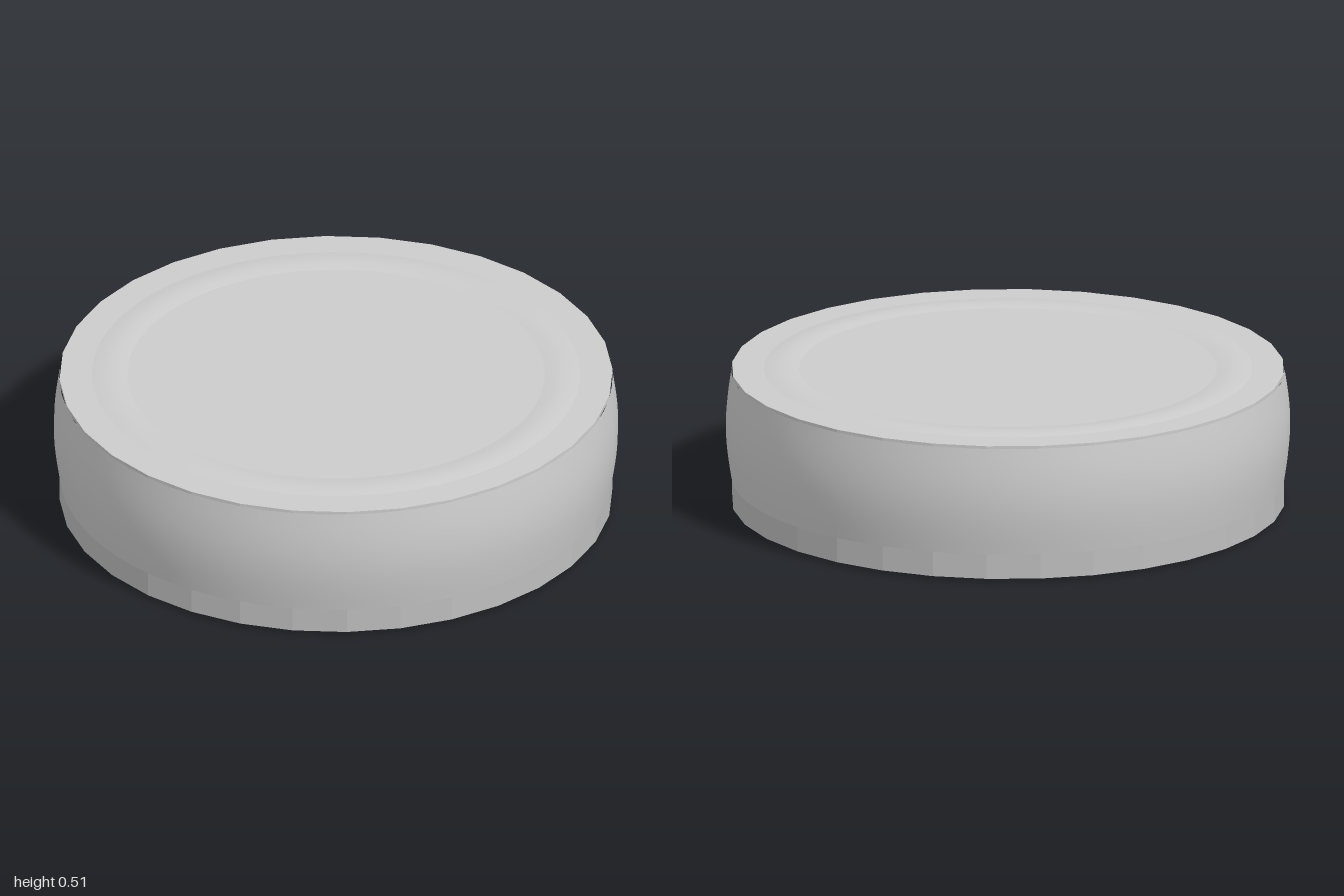
import * as THREE from 'three';

// Turn (radius, height) pairs, listed bottom to top on the outside, into a round surface.
function lathe(points, segments) {
  return new THREE.LatheGeometry(points.map(([r, y]) => new THREE.Vector2(r, y)), segments);
}

// Faceted solid disc between two heights.
function facetedDisc(radius, y0, y1) {
  const g = new THREE.CylinderGeometry(radius, radius, y1 - y0, 32).toNonIndexed();
  g.computeVertexNormals();
  return g.translate(0, (y0 + y1) / 2, 0);
}

export function createModel() {
  const group = new THREE.Group();
  const shellGrey = new THREE.MeshStandardMaterial({ color: 0xcccccc });
  shellGrey.name = 'shellGrey';
  const baseGrey = new THREE.MeshStandardMaterial({ color: 0xbebebe });
  baseGrey.name = 'baseGrey';

  const add = (name, geometry, material) => {
    const mesh = new THREE.Mesh(geometry, material);
    mesh.name = name;
    group.add(mesh);
  };

  // Foot pad and faceted base ring
  add('footPad', facetedDisc(0.93, 0, 0.02), shellGrey);
  add('base', facetedDisc(0.98, 0.01, 0.1), baseGrey);

  // Smooth, gently bulging side wall
  const wall = [];
  for (let i = 0; i <= 12; i++) {
    const t = i / 12;
    wall.push([0.98 + 0.02 * Math.sin(Math.PI * t), 0.1 + 0.39 * t]);
  }
  add('sideWall', lathe(wall, 64), shellGrey);

  // Flat lid with a thin faceted edge
  add('lid', facetedDisc(0.98, 0.485, 0.5), shellGrey);

  // Low rounded bead pressed into the lid
  const bead = [];
  for (let i = 0; i <= 8; i++) {
    const t = i / 8;
    bead.push([0.865 - 0.125 * t, 0.5 + 0.006 * Math.sin(Math.PI * t)]);
  }
  add('lidBead', lathe(bead, 64), shellGrey);

  return group;
}
